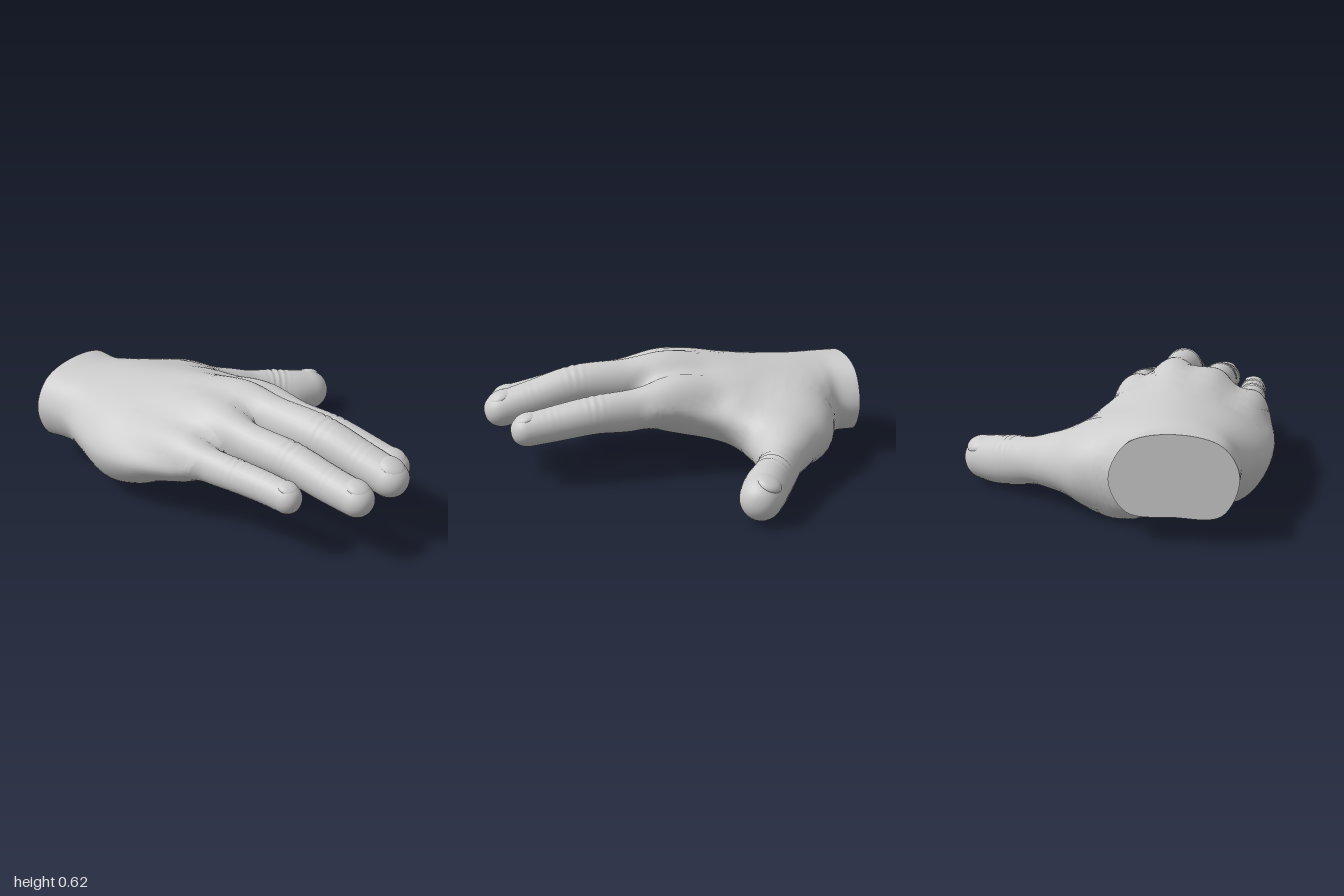
import * as THREE from 'three';

const skin = new THREE.MeshStandardMaterial({ color: 0xcccccc });
const V = (x, y, z) => new THREE.Vector3(x, y, z);
const spline = (points, closed = false) => new THREE.CatmullRomCurve3(points, closed);

// Skin a list of equal rings (counter-clockwise seen from the far end) and cap both ends.
function loft(rings) {
  const n = rings[0].length, last = rings.length - 1;
  const points = rings.flat(), index = [];
  for (let i = 0; i < last; i++) {
    for (let j = 0; j < n; j++) {
      const k = (j + 1) % n, a = i * n, b = a + n;
      index.push(a + j, a + k, b + j, a + k, b + k, b + j);
    }
  }
  for (const end of [0, last]) {
    const centre = rings[end].reduce((s, p) => s.add(p), V(0, 0, 0)).divideScalar(n);
    const base = points.length;
    points.push(...rings[end], centre); // own corners keep the cap edge sharp
    for (let j = 0; j < n; j++) {
      const k = (j + 1) % n;
      if (end === 0) index.push(base + n, base + k, base + j);
      else index.push(base + n, base + j, base + k);
    }
  }
  const geometry = new THREE.BufferGeometry().setFromPoints(points);
  geometry.setIndex(index);
  geometry.computeVertexNormals();
  return geometry;
}

// Positions and normals of one skin, swelled into a fillet of size k where it meets another
function filleted(geometry, other, k) {
  const { position, normal } = geometry.attributes;
  const q = other.attributes.position.array, nq = other.attributes.normal.array;
  const newPosition = position.clone(), newNormal = normal.clone();
  const p = V(0, 0, 0), n = V(0, 0, 0), m = V(0, 0, 0);
  for (let i = 0; i < position.count; i++) {
    p.fromBufferAttribute(position, i);
    let best = Infinity, at = 0;
    for (let j = 0; j < q.length; j += 3) {
      const d = (p.x - q[j]) ** 2 + (p.y - q[j + 1]) ** 2 + (p.z - q[j + 2]) ** 2;
      if (d < best) { best = d; at = j; }
    }
    m.fromArray(nq, at);
    const plane = n.fromArray(q, at).subVectors(p, n).dot(m);
    const d = Math.sign(plane) * Math.max(Math.abs(plane), Math.sqrt(best) - 0.03);
    if (Math.abs(d) >= k) continue;
    n.fromBufferAttribute(normal, i).lerp(m, 0.5 - (0.5 * d) / k).normalize();
    p.addScaledVector(n, (k / 4) * (1 - Math.abs(d) / k) ** 2);
    newPosition.setXYZ(i, p.x, p.y, p.z);
    newNormal.setXYZ(i, n.x, n.y, n.z);
  }
  return { position: newPosition, normal: newNormal };
}

function blend(a, b, k) {
  const skins = [filleted(a, b, k), filleted(b, a, k)];
  [a, b].forEach((g, i) => {
    g.setAttribute('position', skins[i].position);
    g.setAttribute('normal', skins[i].normal);
  });
}

function mesh(name, geometry) {
  const m = new THREE.Mesh(geometry, skin);
  m.name = name;
  return m;
}

// Palm and wrist: z, left x, right x, side heights, three top heights, three bottom heights
const palmRows = [
  [-1.0, -0.66, -0.07, 0.31, 0.28, 0.45, 0.50, 0.45, 0.13, 0.115, 0.13],
  [-0.88, -0.66, -0.07, 0.31, 0.28, 0.45, 0.50, 0.44, 0.14, 0.11, 0.12],
  [-0.80, -0.665, 0.0, 0.30, 0.25, 0.45, 0.505, 0.43, 0.13, 0.08, 0.07],
  [-0.70, -0.70, 0.09, 0.28, 0.22, 0.44, 0.515, 0.42, 0.10, 0.06, 0.02],
  [-0.50, -0.77, 0.18, 0.26, 0.22, 0.43, 0.535, 0.42, 0.055, 0.085, 0.06],
  [-0.30, -0.79, 0.17, 0.27, 0.27, 0.42, 0.56, 0.45, 0.10, 0.14, 0.14],
  [-0.15, -0.78, 0.09, 0.29, 0.32, 0.43, 0.575, 0.475, 0.165, 0.185, 0.18],
  [0.00, -0.755, 0.05, 0.31, 0.36, 0.44, 0.575, 0.49, 0.205, 0.215, 0.21],
  [0.10, -0.735, 0.035, 0.33, 0.37, 0.42, 0.555, 0.47, 0.23, 0.24, 0.235],
  [0.17, -0.715, 0.02, 0.35, 0.37, 0.39, 0.50, 0.42, 0.27, 0.27, 0.265],
  [0.19, -0.69, 0.0, 0.35, 0.36, 0.37, 0.45, 0.39, 0.31, 0.31, 0.30],
];

function palmGeometry() {
  const around = 72, along = 90;
  const rows = palmRows.map(([z, x0, x1, yL, yR, t1, t2, t3, b1, b2, b3]) => {
    const at = (t, y) => V(x0 + (x1 - x0) * t, y, z);
    const ring = spline([
      at(1, yR), at(0.86, t3), at(0.5, t2), at(0.13, t1),
      at(0, yL), at(0.13, b1), at(0.5, b2), at(0.86, b3),
    ], true);
    return Array.from({ length: around }, (_, j) => ring.getPoint(j / around));
  });
  const columns = rows[0].map((_, j) => spline(rows.map((r) => r[j])));
  const rings = Array.from({ length: along + 1 }, (_, i) =>
    columns.map((c) => {
      const p = c.getPoint(i / along);
      // the little finger's web sits further back
      if (p.z > 0) p.z -= 0.4 * p.z * THREE.MathUtils.smoothstep(-p.x, 0.45, 0.65);
      return p;
    }));
  return loft(rings);
}

// Finger or thumb: sections of x, y, z, half width, half height, ending at the tip;
// joints pairs a section number with the depth of its skin folds
function digit(name, sections, joints, nailAngle = Math.PI / 2) {
  const around = 28, along = 110, capRings = 14;
  const path = spline(sections.map(([x, y, z]) => V(x, y, z)));
  const sizes = spline(sections.map(([, , , w, h]) => V(w, h, 0)));
  const length = path.getLength();
  const cap = sections.at(-1)[3];

  const frame = (u) => {
    const centre = path.getPointAt(u), size = sizes.getPoint(path.getUtoTmapping(u));
    const tangent = path.getTangentAt(u);
    const side = V(0, 1, 0).cross(tangent).normalize();
    const up = tangent.clone().cross(side);
    const out = (a) => side.clone().multiplyScalar(Math.cos(a) * size.x)
      .addScaledVector(up, Math.sin(a) * size.y);
    return { centre, tangent, out };
  };

  // even steps along the shaft, then closing steps round the blunt tip
  const steps = [];
  const shaft = 1 - cap / length;
  for (let i = 0; i < along; i++) steps.push([(shaft * i) / along, 1]);
  for (let i = 0; i <= capRings; i++) {
    const a = (i / capRings) * Math.PI * 0.495;
    steps.push([Math.min(1, shaft + (cap / length) * Math.sin(a)), Math.cos(a) ** 0.85]);
  }
  const rings = steps.map(([u, k]) => {
    const { centre, out } = frame(u);
    // skin folds across the back of each joint
    let fold = 0;
    for (const [i, depth] of joints) {
      const s = centre.distanceTo(V(...sections[i].slice(0, 3)));
      fold += depth * Math.exp(-((s / 0.05) ** 2)) * Math.cos(s * 170);
    }
    return Array.from({ length: around }, (_, j) => {
      const a = (j / around) * Math.PI * 2;
      return out(a).multiplyScalar(k * (1 + fold * Math.max(0, Math.sin(a)))).add(centre);
    });
  });

  const group = new THREE.Group();
  group.name = name;
  group.add(mesh(name + 'Flesh', loft(rings)));

  // nail: a thin dome sunk into the back of the tip
  const { centre, tangent, out } = frame(1 - (cap * 1.05) / length);
  const offset = out(nailAngle), radius = offset.length();
  const normal = offset.clone().normalize();
  const nail = mesh(name + 'Nail', new THREE.SphereGeometry(1, 24, 16));
  nail.scale.set(cap * 0.7, cap * 0.36, cap * 0.75);
  nail.quaternion.setFromRotationMatrix(
    new THREE.Matrix4().makeBasis(normal.clone().cross(tangent), normal, tangent));
  nail.rotateX(0.14);
  nail.position.copy(centre).addScaledVector(normal, radius - cap * 0.3);
  group.add(nail);
  return group;
}

export function createModel() {
  const hand = new THREE.Group();
  hand.name = 'hand';
  const palm = mesh('palmAndWrist', palmGeometry());
  hand.add(palm);

  const fingerJoints = [[3, 0.03], [4, 0.01]];
  const fingers = {
    indexFinger: [
      [-0.10, 0.39, -0.30, 0.08, 0.07], [-0.06, 0.415, 0.02, 0.09, 0.105],
      [-0.053, 0.365, 0.25, 0.086, 0.11], [-0.05, 0.355, 0.46, 0.092, 0.10],
      [-0.055, 0.32, 0.68, 0.087, 0.092], [-0.06, 0.285, 0.89, 0.083, 0.08],
    ],
    middleFinger: [
      [-0.26, 0.44, -0.30, 0.08, 0.08], [-0.25, 0.495, 0.04, 0.10, 0.11],
      [-0.255, 0.465, 0.25, 0.097, 0.115], [-0.26, 0.455, 0.52, 0.102, 0.108],
      [-0.255, 0.40, 0.75, 0.097, 0.098], [-0.25, 0.335, 1.0, 0.094, 0.088],
    ],
    ringFinger: [
      [-0.42, 0.42, -0.30, 0.08, 0.08], [-0.445, 0.455, 0.02, 0.095, 0.105],
      [-0.46, 0.415, 0.25, 0.088, 0.105], [-0.46, 0.40, 0.49, 0.092, 0.097],
      [-0.465, 0.355, 0.72, 0.088, 0.09], [-0.465, 0.315, 0.95, 0.085, 0.082],
    ],
    littleFinger: [
      [-0.60, 0.35, -0.30, 0.08, 0.08], [-0.65, 0.37, 0.0, 0.082, 0.09],
      [-0.65, 0.35, 0.16, 0.074, 0.088], [-0.645, 0.345, 0.31, 0.075, 0.082],
      [-0.64, 0.335, 0.48, 0.072, 0.078], [-0.64, 0.315, 0.67, 0.069, 0.074],
    ],
  };
  for (const [name, sections] of Object.entries(fingers)) {
    const finger = digit(name, sections, fingerJoints);
    blend(palm.geometry, finger.children[0].geometry, 0.07);
    hand.add(finger);
  }

  // thumb with the fleshy mound at its base
  const thumb = digit('thumb', [
    [-0.17, 0.205, -0.68, 0.16, 0.175], [0.02, 0.22, -0.57, 0.235, 0.205],
    [0.15, 0.205, -0.495, 0.21, 0.17], [0.28, 0.19, -0.445, 0.16, 0.14],
    [0.405, 0.17, -0.395, 0.108, 0.12], [0.505, 0.15, -0.335, 0.104, 0.125],
    [0.60, 0.13, -0.265, 0.112, 0.125], [0.69, 0.125, -0.215, 0.107, 0.114],
    [0.785, 0.135, -0.18, 0.092, 0.095],
  ], [[5, 0.035]], Math.PI * 0.35);
  blend(palm.geometry, thumb.children[0].geometry, 0.11);
  hand.add(thumb);
  return hand;
}
